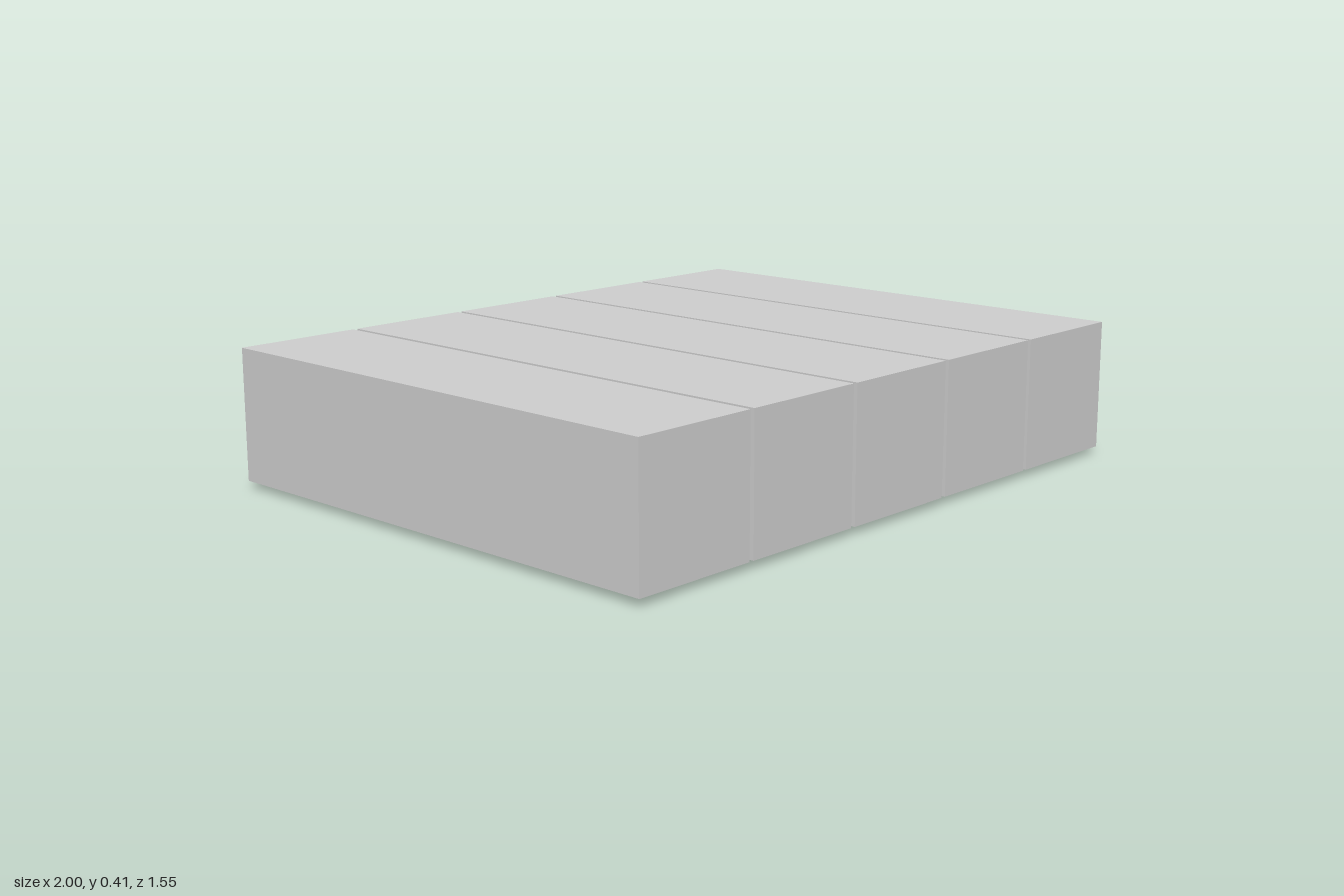
import * as THREE from 'three';

const COUNT = 5, GAP = 0.015, WIDTH = (2 - GAP * (COUNT - 1)) / COUNT;
const HALF_Z = 0.777, BASE = 0.022, TOP = 0.408, GROOVE_DEPTH = 0.013;
const grey = new THREE.MeshStandardMaterial({ color: 0xcccccc });

function add(parent, name, geometry, x = 0, y = 0, z = 0) {
  const mesh = new THREE.Mesh(geometry, grey);
  mesh.name = name;
  mesh.position.set(x, y, z);
  parent.add(mesh);
  return mesh;
}

function rectangle(path, hx, z0, z1) {
  path.moveTo(-hx, z0);
  path.lineTo(hx, z0);
  path.lineTo(hx, z1);
  path.lineTo(-hx, z1);
  path.closePath();
  return path;
}

// Curved hood, flat on the side facing -z, hanging below the door face
function hoodGeometry(length, depth, height) {
  const s = new THREE.Shape();
  s.moveTo(0, 0.002);
  s.lineTo(0, -height);
  s.quadraticCurveTo(depth * 0.75, -height * 0.8, depth, 0.002);
  s.closePath();
  const g = new THREE.ExtrudeGeometry(s, { depth: length, bevelEnabled: false, curveSegments: 6 });
  g.rotateY(-Math.PI / 2);
  return g.translate(length / 2, 0, 0);
}

function createLocker() {
  const locker = new THREE.Group();
  locker.name = 'locker';

  // Body, ending at the floor of the door groove
  const bodyBottom = BASE + GROOVE_DEPTH;
  add(locker, 'body', new THREE.BoxGeometry(WIDTH, TOP - bodyBottom, HALF_Z * 2),
    0, (TOP + bodyBottom) / 2, 0);

  // Face frame and door panel, with the groove left open between them
  const plate = (shape) => new THREE.ExtrudeGeometry(shape, { depth: GROOVE_DEPTH, bevelEnabled: false })
    .rotateX(Math.PI / 2);
  const frame = rectangle(new THREE.Shape(), WIDTH / 2, -HALF_Z, HALF_Z);
  frame.holes.push(rectangle(new THREE.Path(), 0.158, -0.668, 0.66));
  add(locker, 'faceFrame', plate(frame), 0, bodyBottom, 0);
  const door = rectangle(new THREE.Shape(), 0.142, -0.652, 0.644);
  add(locker, 'door', plate(door), 0, bodyBottom, 0);

  // Vent louvers and the small door pull
  const louver = hoodGeometry(0.152, 0.033, BASE);
  for (let i = 0; i < 4; i++) add(locker, 'louver', louver, 0, BASE, 0.371 + i * 0.0583);
  add(locker, 'doorPull', hoodGeometry(0.04, 0.025, 0.012), -0.095, BASE, -0.058);
  return locker;
}

export function createModel() {
  const model = new THREE.Group();
  model.name = 'lockerBank';
  const pitch = WIDTH + GAP;
  for (let i = 0; i < COUNT; i++) {
    const x = (i - (COUNT - 1) / 2) * pitch;
    const locker = createLocker();
    locker.position.x = x;
    model.add(locker);

    // Recessed strip joining this locker to the next, flush at the back
    if (i < COUNT - 1) {
      add(model, 'joiningStrip', new THREE.BoxGeometry(GAP, 0.325, HALF_Z + 0.74),
        x + pitch / 2, 0.2225, (0.74 - HALF_Z) / 2);
    }
  }
  return model;
}
